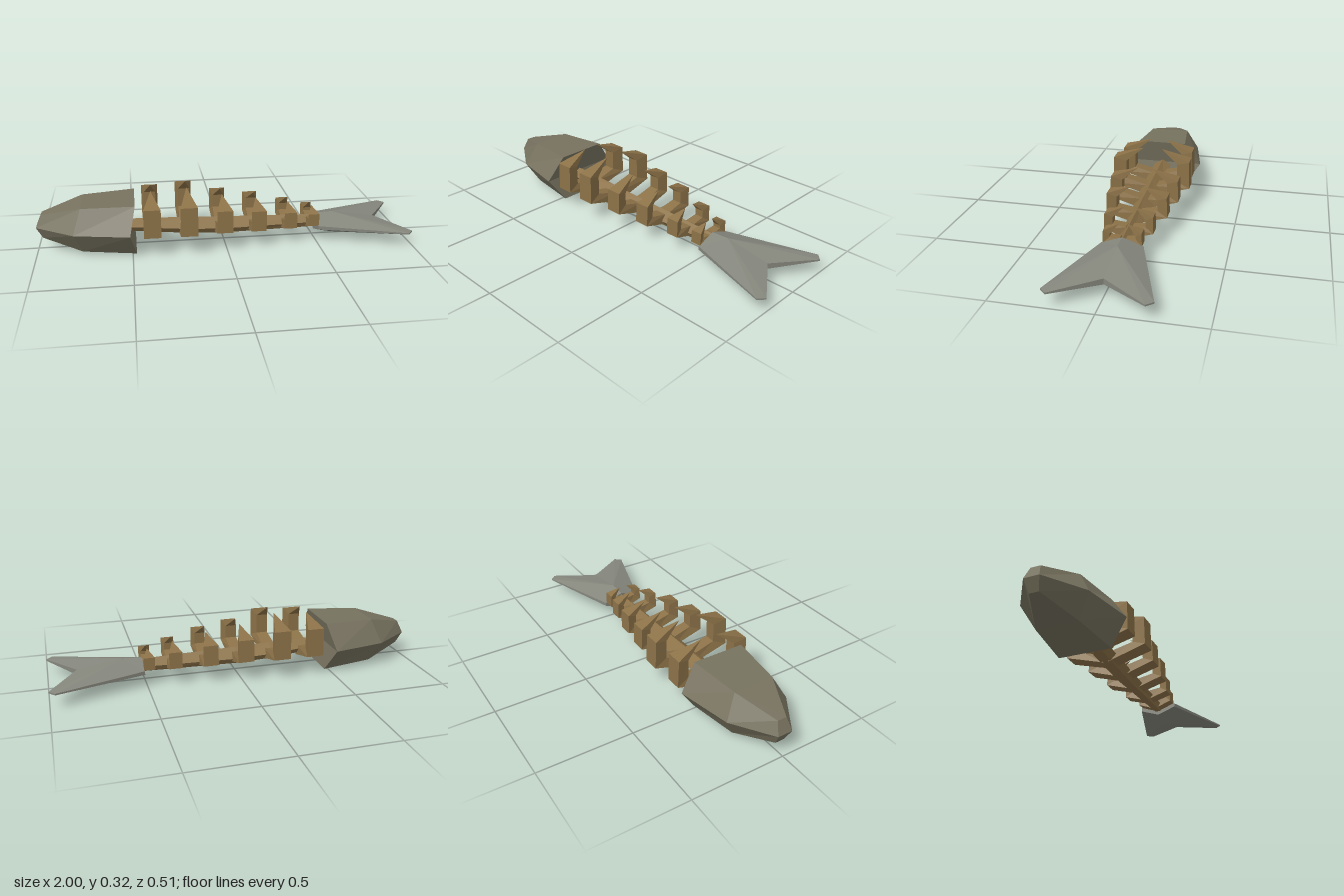
import * as THREE from 'three';

const bone = new THREE.MeshStandardMaterial({ color: 0x8c7248, flatShading: true });
const skull = new THREE.MeshStandardMaterial({ color: 0x77725f, flatShading: true });
const fin = new THREE.MeshStandardMaterial({ color: 0x85867c, flatShading: true });

// Skins a list of equally long rings of [x, y, z] and caps both ends; always faces outward
function loft(name, rings, material) {
  const tris = [];
  const n = rings[0].length;
  for (let r = 0; r < rings.length - 1; r++) {
    const a = rings[r], b = rings[r + 1];
    for (let i = 0; i < n; i++) {
      const j = (i + 1) % n;
      tris.push([a[i], a[j], b[i]], [a[j], b[j], b[i]]);
    }
  }
  const first = rings[0], last = rings[rings.length - 1];
  for (let i = 1; i < n - 1; i++) {
    tris.push([first[0], first[i + 1], first[i]], [last[0], last[i], last[i + 1]]);
  }
  // Drop collapsed triangles and measure the signed volume
  let volume = 0;
  const solid = [];
  for (const t of tris) {
    const [a, b, c] = t.map((p) => new THREE.Vector3(...p));
    volume += a.dot(b.clone().cross(c));
    if (new THREE.Triangle(a, b, c).getArea() > 1e-8) solid.push(t);
  }
  const positions = solid.flatMap((t) => (volume < 0 ? [t[0], t[2], t[1]] : t)).flat();
  const geometry = new THREE.BufferGeometry();
  geometry.setAttribute('position', new THREE.Float32BufferAttribute(positions, 3));
  geometry.computeVertexNormals();
  const mesh = new THREE.Mesh(geometry, material);
  mesh.name = name;
  return mesh;
}

// Six-sided skull, its back edge notched at the middle corners
function createHead() {
  const stations = [
    // middle: x, z   upper and lower: x, z, top y, bottom y
    [-1.0, 0.04, -0.97, 0.025, 0.2, 0.07],
    [-0.8, 0.175, -0.76, 0.11, 0.255, 0.015],
    [-0.51, 0.232, -0.48, 0.14, 0.265, 0.0],
  ];
  const rings = stations.map(([mx, mz, x, z, top, bottom]) => [
    [mx, 0.133, mz], [x, bottom, z], [x, bottom, -z],
    [mx, 0.133, -mz], [x, top, -z], [x, top, z],
  ]);
  return loft('head', rings, skull);
}

// Five-sided backbone with a ridge on top
function createSpine() {
  const stations = [
    // x, half width, bottom, shoulder, top
    [-0.52, 0.05, 0.085, 0.115, 0.145],
    [-0.2, 0.06, 0.055, 0.09, 0.138],
    [0.0, 0.055, 0.045, 0.08, 0.13],
    [0.53, 0.03, 0.05, 0.08, 0.115],
  ];
  const rings = stations.map(([x, w, bottom, mid, top]) => [
    [x, top, 0], [x, mid, w], [x, bottom, w * 0.5],
    [x, bottom, -w * 0.5], [x, mid, -w],
  ]);
  return loft('spine', rings, bone);
}

// Bent rib: out from the spine, straight up, then in to a point
function createRib(name, side, [x, outer, width, low, high, tip]) {
  const inner = outer * 0.68;
  const section = (outZ, outY, inZ, inY, outW, inW) => [
    [x - outW / 2, outY, side * outZ], [x + outW / 2, outY, side * outZ],
    [x + inW / 2, inY, side * inZ], [x - inW / 2, inY, side * inZ],
  ];
  return loft(name, [
    section(0.015, 0.055, 0.015, 0.11, width * 0.9, width * 0.8),
    section(outer * 1.02, low, inner, low + 0.03, width, width * 0.7),
    section(outer, high, inner, high - 0.02, width, width * 0.7),
    section(outer * 0.23, tip, outer * 0.23, tip, 0, 0),
  ], bone);
}

// Forked tail fin, thick at the root and thin at the tips
function createTail() {
  const half = [
    // x, z, half thickness
    [0.51, 0.105, 0.01], [0.97, 0.253, 0.004], [1.0, 0.22, 0.004],
  ];
  const outline = [
    [0.51, 0, 0.047], ...half, [0.85, 0, 0.015],
    ...half.map(([x, z, t]) => [x, -z, t]).reverse(),
  ];
  const y = 0.075;
  return loft('tailFin', [
    outline.map(() => [0.61, 0.128, 0]),
    outline.map(([x, z, t]) => [x, y + t, z]),
    outline.map(([x, z, t]) => [x, y - t, z]),
    outline.map(() => [0.61, 0.005, 0]),
  ], fin);
}

export function createModel() {
  const model = new THREE.Group();
  model.name = 'fishSkeleton';
  model.add(createHead(), createSpine(), createTail());

  // Ribs: x, outer z, width, lower bend y, upper bend y, tip y
  const ribs = [
    [-0.395, 0.203, 0.09, 0.11, 0.262, 0.312],
    [-0.205, 0.216, 0.09, 0.115, 0.27, 0.325],
    [-0.015, 0.185, 0.085, 0.11, 0.23, 0.275],
    [0.17, 0.16, 0.08, 0.1, 0.21, 0.246],
    [0.35, 0.124, 0.07, 0.09, 0.178, 0.21],
    [0.485, 0.096, 0.06, 0.085, 0.152, 0.18],
  ];
  ribs.forEach((rib, i) => {
    model.add(createRib(`frontRib${i + 1}`, 1, rib), createRib(`backRib${i + 1}`, -1, rib));
  });
  return model;
}
